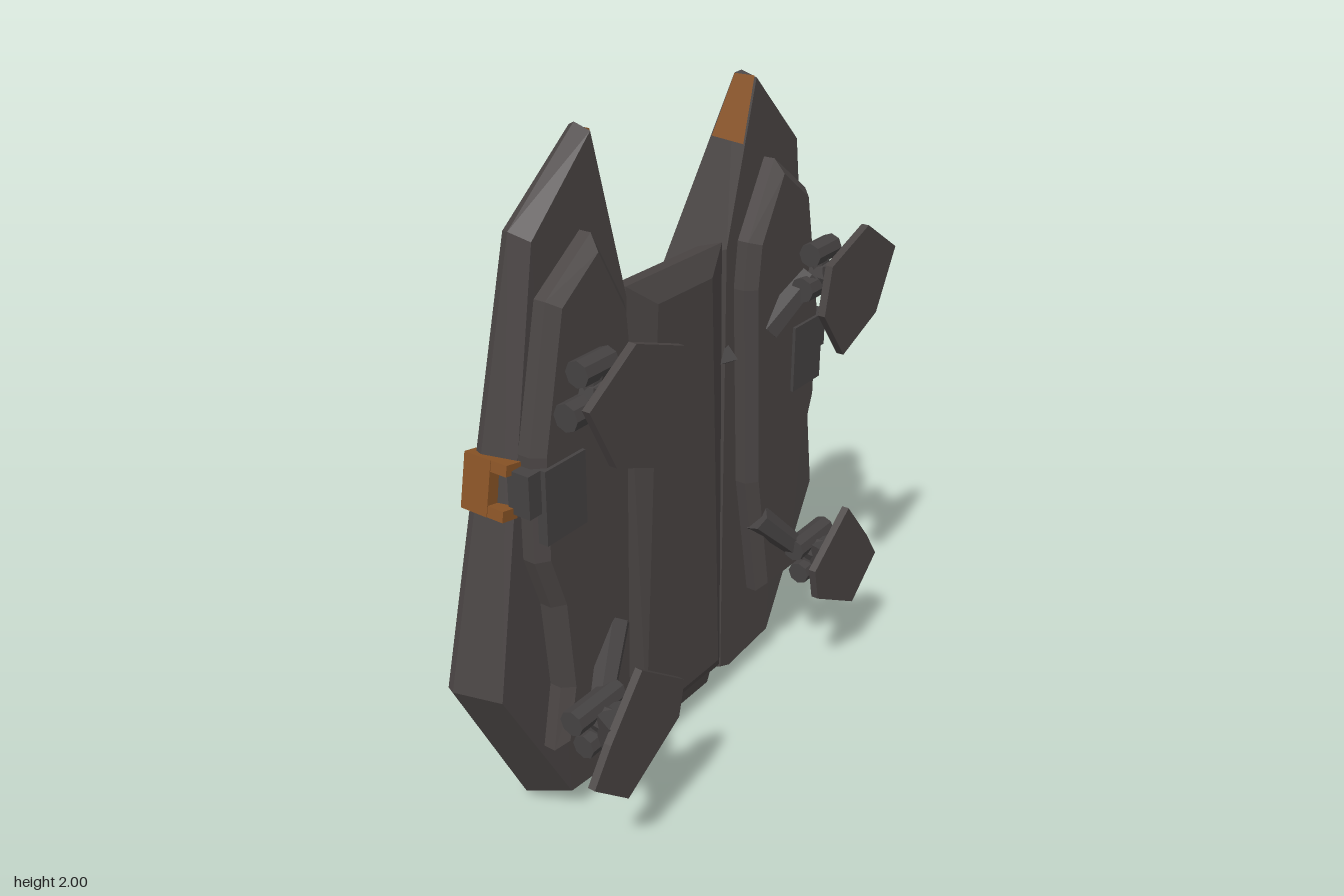
import * as THREE from 'three';
import { ConvexGeometry } from 'three/addons/geometries/ConvexGeometry.js';

const mat = (name, color) => Object.assign(new THREE.MeshStandardMaterial({ color }), { name });

export function createModel() {
  const hull = mat('hull grey', 0x4a4544);
  const metal = mat('machinery grey', 0x454242);
  const dark = mat('recess dark', 0x2b2929);
  const orange = mat('trim orange', 0x8a5426);
  const root = new THREE.Group();
  root.name = 'dropShip';

  const add = (name, geo, m, parent = root) => {
    const mesh = new THREE.Mesh(geo, m);
    mesh.name = name;
    parent.add(mesh);
    return mesh;
  };
  // Faceted solid around a few corner points, mirrored by s
  const solid = (pts, s = 1) => new ConvexGeometry(pts.map(([x, y, z]) => new THREE.Vector3(s * x, y, z)));
  // Corner points given for +x only, used on both sides
  const both = (pts) => solid([...pts, ...pts.map(([x, y, z]) => [-x, y, z])]);
  const box = (x0, x1, y0, y1, z0, z1, s = 1) =>
    new THREE.BoxGeometry(x1 - x0, y1 - y0, z1 - z0).translate(s * (x0 + x1) / 2, (y0 + y1) / 2, (z0 + z1) / 2);
  const vecs = (pts, s) => pts.map(([x, y]) => new THREE.Vector2(s * x, y));
  // Flat outline extruded from z0 to z1, with optional bevel and hole
  const plate = (pts, z0, z1, s = 1, bevel = 0, hole = null) => {
    const shape = new THREE.Shape(vecs(pts, s));
    if (hole) shape.holes.push(new THREE.Path(vecs(hole, s)));
    return new THREE.ExtrudeGeometry(shape, {
      depth: z1 - z0 - bevel, bevelEnabled: bevel > 0, bevelThickness: bevel,
      bevelSize: bevel, bevelOffset: -bevel, bevelSegments: 1,
    }).translate(0, 0, z0);
  };
  // Faceted rod between two points
  const rod = (a, b, r0, r1 = r0, sides = 8) => {
    const p = new THREE.Vector3(...a), q = new THREE.Vector3(...b);
    const d = q.clone().sub(p);
    let g = new THREE.CylinderGeometry(r1, r0, d.length(), sides).toNonIndexed();
    g.applyQuaternion(new THREE.Quaternion().setFromUnitVectors(new THREE.Vector3(0, 1, 0), d.normalize()));
    g.translate(...p.add(q).multiplyScalar(0.5).toArray());
    g.computeVertexNormals();
    return g;
  };
  // Lay a flat deck plate along the sloping wing deck
  const onDeck = (geo, s) => {
    const p = geo.attributes.position;
    for (let i = 0; i < p.count; i++) p.setZ(i, p.getZ(i) - 0.165 + (s * p.getX(i) - 0.19) * 0.0726);
    geo.computeVertexNormals();
    return geo;
  };

  // Central hull, nose bridge and tail
  add('centralHull', both([
    [0.125, 1.48, 0.065], [0.19, 0.165, 0.065], [0.22, 1.55, 0.03], [0.25, 0.1, 0.03],
    [0.2, 1.53, -0.04], [0.22, 0.1, -0.04],
  ]), hull);
  add('noseBridge', both([
    [0.22, 1.55, 0.03], [0.2, 1.43, -0.165], [0.2, 1.4, -0.165], [0.21, 1.44, -0.03],
  ]), hull);
  add('tailSkirt', both([[0.18, 0.16, 0.05], [0.18, 0.07, 0.03], [0.18, 0.07, -0.1], [0.18, 0.2, -0.1]]), hull);
  add('tailBlock', box(-0.2, 0.2, 0.08, 0.22, -0.15, -0.03), metal);
  for (const x of [-0.12, 0, 0.12]) {
    add('engineSlot', box(x - 0.045, x + 0.045, 0.064, 0.1, -0.09, -0.03), dark);
    add('tailVent', box(x - 0.045, x + 0.045, 0.11, 0.19, -0.156, -0.14), dark);
  }
  add('tailMark', plate([[-0.03, 0.15], [0.03, 0.15], [0.04, 0.12], [0.02, 0.09], [-0.02, 0.09], [-0.04, 0.12]], -0.18, -0.145), orange);

  // Channel rails and turret arm
  for (const x of [-0.07, 0, 0.07]) add('channelRail', box(x - 0.022, x + 0.022, 0.8, 1.4, -0.085, -0.03), metal);
  add('channelFloorPlate', box(-0.18, 0.18, 0.2, 1.4, -0.048, -0.03), dark);
  add('turretArm', both([
    [0.1, 0.78, -0.2], [0.1, 0.9, -0.2], [0.08, 0.98, -0.14], [0.1, 0.98, -0.05], [0.1, 0.75, -0.05],
  ]), metal);
  add('turretArmHead', both([
    [0.05, 0.96, -0.17], [0.05, 1.06, -0.17], [0.04, 1.1, -0.13], [0.05, 1.1, -0.05], [0.05, 0.95, -0.05],
  ]), metal);

  // Hexagonal turret
  const hex = (w, e, y0, y1) => {
    const m = (y0 + y1) / 2 + 0.01;
    return [[w, m], [e, y1], [-e, y1], [-w, m], [-e, y0], [e, y0]];
  };
  const ring = (w, e, y0, y1, z) => hex(w, e, y0, y1).map(([x, y]) => [x, y, z]);
  add('turretBase', solid([...ring(0.33, 0.13, 0.2, 0.74, -0.215), ...ring(0.35, 0.14, 0.18, 0.76, -0.14)]), metal);
  add('turretBody', solid([
    ...ring(0.31, 0.13, 0.205, 0.73, -0.308), ...ring(0.43, 0.15, 0.15, 0.83, -0.258),
    ...ring(0.43, 0.15, 0.15, 0.83, -0.242), ...ring(0.36, 0.14, 0.19, 0.77, -0.2),
  ]), hull);
  add('turretTrim', plate(hex(0.3, 0.125, 0.215, 0.72), -0.313, -0.306, 1, 0, hex(0.268, 0.11, 0.24, 0.695)), orange);
  add('turretArrow', plate([[-0.11, 0.7], [0.11, 0.7], [0, 0.52]], -0.313, -0.306), orange);

  for (const s of [1, -1]) {
    const side = new THREE.Group();
    side.name = s > 0 ? 'leftSide' : 'rightSide';
    root.add(side);

    // Wing slab: deck edge, outer rim, belly edge
    add('wing', solid([
      [0.19, 1.43, -0.165], [0.19, 0.07, -0.165], [0.355, 1.99, -0.03], [0.595, 1.785, -0.04],
      [0.81, 0.57, -0.12], [0.535, 0.05, -0.14], [0.29, 0.01, -0.14],
      [0.36, 2, -0.01], [0.605, 1.79, -0.015], [0.82, 0.57, -0.095], [0.54, 0.04, -0.115], [0.29, 0, -0.12],
      [0.36, 1.985, 0.04], [0.585, 1.77, 0.04], [0.77, 0.56, 0.035], [0.515, 0.1, 0.04],
      [0.29, 0.08, 0.04], [0.24, 0.1, 0.04], [0.23, 1.53, 0.04],
    ], s), hull, side);

    // Belly pod with its clamp
    add('bellyPod', plate([
      [0.41, 1.755], [0.285, 1.54], [0.27, 1.4], [0.305, 0.76], [0.385, 0.33], [0.62, 0.33],
      [0.585, 0.52], [0.61, 0.79], [0.665, 0.95], [0.665, 1.25], [0.585, 1.63],
    ], 0.02, 0.105, s, 0.03), hull, side);
    add('podClamp', box(0.5, 0.655, 1.01, 1.22, 0.08, 0.115, s), metal, side);
    add('podClampArm', box(0.62, 0.7, 1.1, 1.22, 0.03, 0.1, s), metal, side);
    add('podFin', solid([[0.25, 1.2, 0.03], [0.18, 1.2, 0.06], [0.25, 1.17, 0.03], [0.25, 1.24, 0.03], [0.24, 1.2, 0.08]], s), metal, side);

    // Orange bracket on the outer rim
    const bracket = new THREE.Group();
    bracket.name = 'rimBracket';
    bracket.position.set(s * 0.713, 1.165, 0);
    bracket.rotation.z = s * 0.178;
    side.add(bracket);
    add('bracketBand', box(-0.04, 0.018, -0.075, 0.075, -0.092, -0.005, s), orange, bracket);
    add('bracketProngUpper', box(-0.04, 0.016, 0.045, 0.075, -0.01, 0.046, s), orange, bracket);
    add('bracketProngLower', box(-0.04, 0.016, -0.075, -0.045, -0.01, 0.046, s), orange, bracket);

    // Orange panel on the inside of the wing tip
    add('tipPanel', solid([
      [0.303, 1.82, -0.067], [0.353, 1.99, -0.028], [0.357, 1.99, 0.035], [0.309, 1.81, 0.035],
      [0.32, 1.82, -0.06], [0.32, 1.82, 0.03],
    ], s), orange, side);

    // Deck stripe around the turret and small deck recess
    add('deckStripe', onDeck(plate([
      [0.19, 0.88], [0.24, 0.86], [0.27, 0.79], [0.31, 0.78], [0.45, 0.6], [0.47, 0.58], [0.475, 0.49], [0.44, 0.46],
      [0.37, 0.33], [0.33, 0.3], [0.27, 0.18], [0.2, 0.1], [0.2, 0.18], [0.31, 0.34], [0.42, 0.52], [0.3, 0.7], [0.19, 0.82],
    ], -0.006, 0.002, s), s), orange, side);
    add('deckRecess', onDeck(plate([[0.43, 0.97], [0.53, 0.92], [0.5, 0.87], [0.45, 0.9]], -0.004, 0.003, s), s), dark, side);
    add('deckRecessFlap', onDeck(plate([[0.45, 0.945], [0.51, 0.915], [0.49, 0.885], [0.46, 0.9]], -0.007, 0.001, s), s), hull, side);
    // Machinery between turret and deck
    add('turretClamp', solid([
      [0.2, 0.76, -0.15], [0.24, 0.8, -0.15], [0.38, 0.62, -0.15], [0.34, 0.58, -0.15],
      [0.2, 0.76, -0.195], [0.23, 0.78, -0.195], [0.36, 0.61, -0.195], [0.33, 0.58, -0.195],
    ], s), metal, side);

    // Landing legs: foot outline, ankle height, strut root
    const legs = [
      ['upperLeg', [[0.545, 1.57], [0.35, 1.5], [0.32, 1.36], [0.44, 1.205], [0.625, 1.28], [0.72, 1.46]], 0.53, 1.4, 1, [0.38, 1.25]],
      ['lowerLeg', [[0.67, 0.49], [0.535, 0.65], [0.345, 0.51], [0.37, 0.4], [0.6, 0.27], [0.74, 0.39]], 0.55, 0.45, -1, [0.36, 0.62]],
    ];
    for (const [name, foot, x, y, up, [rx, ry]] of legs) {
      const leg = new THREE.Group();
      leg.name = name;
      side.add(leg);
      add('footPad', plate(foot, 0.292, 0.315, s), hull, leg);
      add('footRib', solid([
        [x - 0.1, y - 0.07, 0.295], [x + 0.1, y - 0.07, 0.295], [x - 0.1, y + 0.07, 0.295], [x + 0.1, y + 0.07, 0.295],
        [x - 0.035, y - 0.035, 0.2], [x + 0.035, y - 0.035, 0.2], [x - 0.035, y + 0.035, 0.2], [x + 0.035, y + 0.035, 0.2],
      ], s), metal, leg);
      add('ankle', rod([s * x, y, 0.27], [s * x, y, 0.15], 0.05, 0.035), metal, leg);
      add('ankleHub', rod([s * (x - 0.09), y - up * 0.03, 0.165], [s * (x + 0.1), y - up * 0.03, 0.165], 0.038), metal, leg);
      add('kneeHub', rod([s * (x - 0.06), y + up * 0.07, 0.17], [s * (x + 0.06), y + up * 0.07, 0.17], 0.036), metal, leg);
      add('kneeLink', rod([s * x, y + up * 0.07, 0.17], [s * x, y - up * 0.03, 0.165], 0.03), metal, leg);
      add('strut', rod([s * (x - 0.03), y, 0.16], [s * rx, ry, 0.085], 0.035, 0.045, 6), metal, leg);
    }
  }
  return root;
}
